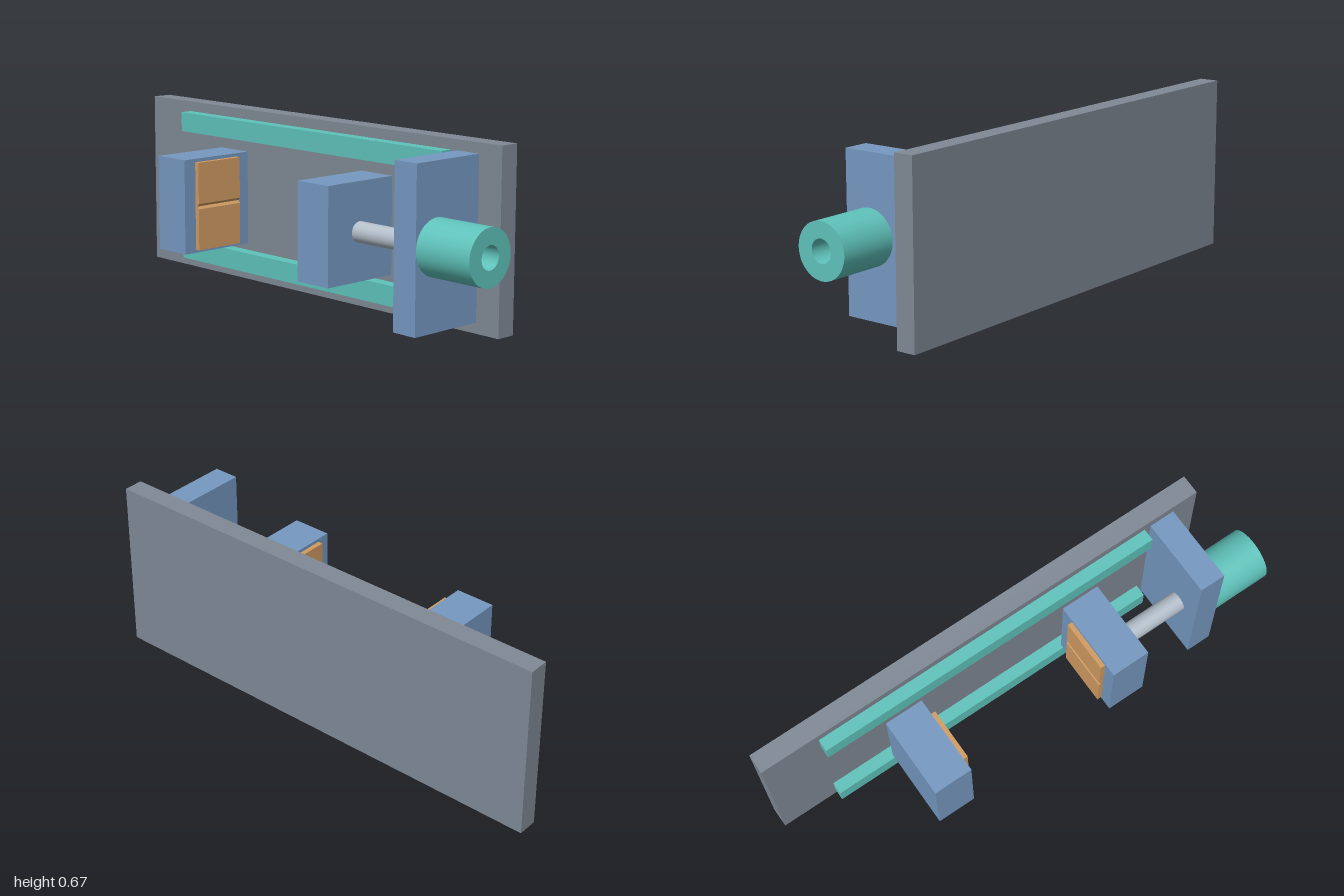
import * as THREE from 'three';

const mat = (name, color) => {
  const m = new THREE.MeshStandardMaterial({ color });
  m.name = name;
  return m;
};

export function createModel() {
  const group = new THREE.Group();
  const grey = mat('plate grey', 0x7f8995);
  const blue = mat('body blue', 0x7598c1);
  const teal = mat('accent teal', 0x5fc3bb);
  const orange = mat('pad orange', 0xd09b62);
  const steel = mat('rod steel', 0xb4bfca);

  const add = (name, geometry, material) => {
    const mesh = new THREE.Mesh(geometry, material);
    mesh.name = name;
    group.add(mesh);
    return mesh;
  };
  // Box given by its limits on each axis
  const box = (name, material, [x0, x1], [y0, y1], [z0, z1]) =>
    add(name, new THREE.BoxGeometry(x1 - x0, y1 - y0, z1 - z0), material)
      .position.set((x0 + x1) / 2, (y0 + y1) / 2, (z0 + z1) / 2);

  const axisY = 0.337, axisZ = 0.065;

  // Back plate, guide rails, jaws and screw support
  box('backPlate', grey, [-1, 0.866], [0, 0.673], [-0.219, -0.142]);
  box('lowerRail', teal, [-0.77, 0.635], [0.04, 0.117], [-0.142, -0.094]);
  box('upperRail', teal, [-0.77, 0.635], [0.558, 0.634], [-0.142, -0.094]);
  box('fixedJaw', blue, [-0.53, -0.377], [0.157, 0.518], [-0.097, 0.219]);
  box('movingJaw', blue, [0.242, 0.396], [0.157, 0.518], [-0.097, 0.219]);
  box('screwSupport', blue, [0.661, 0.763], [0.04, 0.634], [-0.142, 0.168]);

  // Jaw pads with a horizontal V groove; side is the direction each faces
  const pad = (name, x, side) => {
    const t = 0.019 * side, d = 0.009 * side, h = 0.168, g = 0.01;
    const shape = new THREE.Shape([
      [0, -h], [t, -h], [t, -g], [t - d, 0], [t, g], [t, h], [0, h],
    ].map(([px, py]) => new THREE.Vector2(px, py)));
    const geometry = new THREE.ExtrudeGeometry(shape, { depth: 0.206, bevelEnabled: false });
    add(name, geometry, orange).position.set(x, axisY, -0.039);
  };
  pad('fixedJawPad', -0.377, 1);
  pad('movingJawPad', 0.242, -1);

  // Screw rod, its end just visible at the bottom of the handle bore
  const rod = new THREE.CylinderGeometry(0.038, 0.038, 0.374, 48);
  rod.rotateZ(Math.PI / 2);
  add('screwRod', rod, steel).position.set(0.578, axisY, axisZ);

  // Hollow handle: walls and end rings share the lathe axis
  const ri = 0.043, ro = 0.103, len = 0.237;
  const wall = (pts) => new THREE.LatheGeometry(pts.map(([r, y]) => new THREE.Vector2(r, y)), 64);
  const handle = new THREE.Group();
  handle.name = 'handle';
  const pieces = {
    handleOuter: [[ro, 0], [ro, len]],
    handleEnd: [[ro, len], [ri, len]],
    handleBore: [[ri, len], [ri, 0]],
    handleBase: [[ri, 0], [ro, 0]],
  };
  for (const [name, pts] of Object.entries(pieces)) {
    const mesh = new THREE.Mesh(wall(pts), teal);
    mesh.name = name;
    handle.add(mesh);
  }
  handle.rotation.z = -Math.PI / 2;
  handle.position.set(0.763, axisY, axisZ);
  group.add(handle);

  return group;
}
